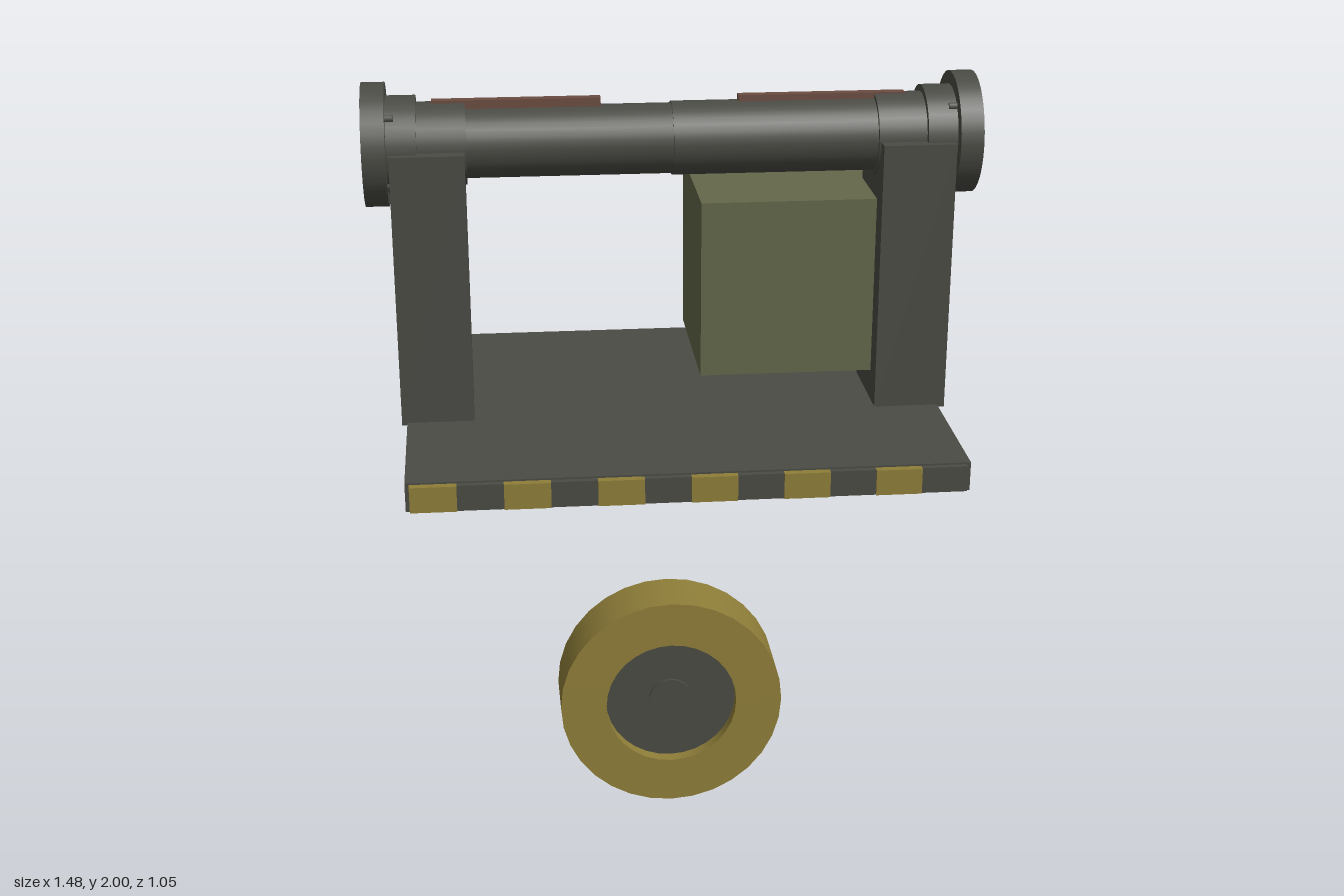
import * as THREE from 'three';

export function createModel() {
  const root = new THREE.Group();
  const mat = (name, color, side = THREE.FrontSide) => {
    const m = new THREE.MeshStandardMaterial({ color, side });
    m.name = name;
    return m;
  };
  const steel = mat('dark steel', 0x4a4b44);
  const olive = mat('olive', 0x64674a);
  const yellow = mat('ochre yellow', 0x8f7e39);
  const rust = mat('rust brown', 0x6c4c41);

  const add = (name, geo, m, parent = root) => {
    const mesh = new THREE.Mesh(geo, m);
    mesh.name = name;
    parent.add(mesh);
    return mesh;
  };
  // Box given by its limits on each axis
  const box = (name, m, x0, x1, y0, y1, z0, z1) => {
    const mesh = add(name, new THREE.BoxGeometry(x1 - x0, y1 - y0, z1 - z0), m);
    mesh.position.set((x0 + x1) / 2, (y0 + y1) / 2, (z0 + z1) / 2);
  };
  // Cylinder along x between two positions
  const AXLE_Y = 1.852, AXLE_Z = -0.01;
  const rod = (name, r, x0, x1, y = AXLE_Y, z = AXLE_Z, sides = 32) => {
    const geo = new THREE.CylinderGeometry(r, r, Math.abs(x1 - x0), sides).rotateZ(Math.PI / 2);
    add(name, geo, steel).position.set((x0 + x1) / 2, y, z);
  };

  // Base plate with striped front edge
  box('basePlate', steel, -0.665, 0.66, 1.115, 1.186, -0.525, 0.506);
  const stripe = 1.305 / 12;
  for (let i = 0; i < 12; i++) {
    const x = -0.655 + i * stripe;
    box('hazardStripe', i % 2 ? steel : yellow, x, x + stripe, 1.119, 1.182, 0.5, i % 2 ? 0.521 : 0.525);
  }

  // Posts, collars, end discs and bolts on both sides
  for (const s of [-1, 1]) {
    const a = s * 0.5, b = s * 0.678;
    box('post', steel, Math.min(a, b), Math.max(a, b), 1.18, 1.853, -0.142, 0.126);
    rod('innerCollar', 0.1, s * 0.495, s * 0.615);
    rod('outerCollar', 0.116, s * 0.612, s * 0.688);
    rod('endDisc', 0.148, s * 0.684, s * 0.74);
    for (let i = 0; i < 4; i++) {
      const t = Math.PI / 4 + i * Math.PI / 2;
      rod('bolt', 0.009, s * 0.664, s * 0.688, AXLE_Y + 0.114 * Math.sin(t), AXLE_Z + 0.114 * Math.cos(t), 8);
    }
  }

  // Roller in two halves with a key strip on each
  rod('rollerRightHalf', 0.085, -0.5, 0);
  rod('rollerLeftHalf', 0.089, 0, 0.5);
  box('keyStrip', rust, -0.575, -0.17, 1.9, 1.957, -0.025, 0.001);
  box('keyStrip', rust, 0.163, 0.57, 1.9, 1.955, -0.025, 0.001);

  // Box behind the roller
  box('motorBox', olive, 0.068, 0.512, 1.26, 1.705, -0.38, 0.06);

  // Separate wheel lying below the plate, axis along z
  const wheel = new THREE.Group();
  wheel.name = 'wheel';
  wheel.position.set(0, 0.299, -0.067);
  root.add(wheel);
  const R = 0.299, hole = 0.176, half = 0.078;
  const ring = new THREE.Shape().absarc(0, 0, R, 0, Math.PI * 2, false);
  ring.holes.push(new THREE.Path().absarc(0, 0, hole, 0, Math.PI * 2, true));
  for (const s of [-1, 1]) {
    const face = add('tyreFace', new THREE.ShapeGeometry(ring, 16), yellow, wheel);
    face.position.z = s * half;
    if (s < 0) face.rotation.y = Math.PI;
  }
  const tread = new THREE.CylinderGeometry(R, R, 2 * half, 32, 1, true).rotateX(Math.PI / 2);
  add('tyreTread', tread, yellow, wheel);
  // Inner wall of the tyre faces the axle
  const wall = new THREE.LatheGeometry(
    [new THREE.Vector2(hole, half), new THREE.Vector2(hole, -half)], 32).rotateX(Math.PI / 2);
  add('tyreInnerWall', wall, mat('ochre yellow inside', 0x8f7e39, THREE.DoubleSide), wheel);
  const disc = (name, r, depth) =>
    add(name, new THREE.CylinderGeometry(r, r, depth, 32).rotateX(Math.PI / 2), steel, wheel);
  disc('hubDisc', hole, 0.09);
  disc('hubCap', 0.058, 0.105);

  return root;
}
